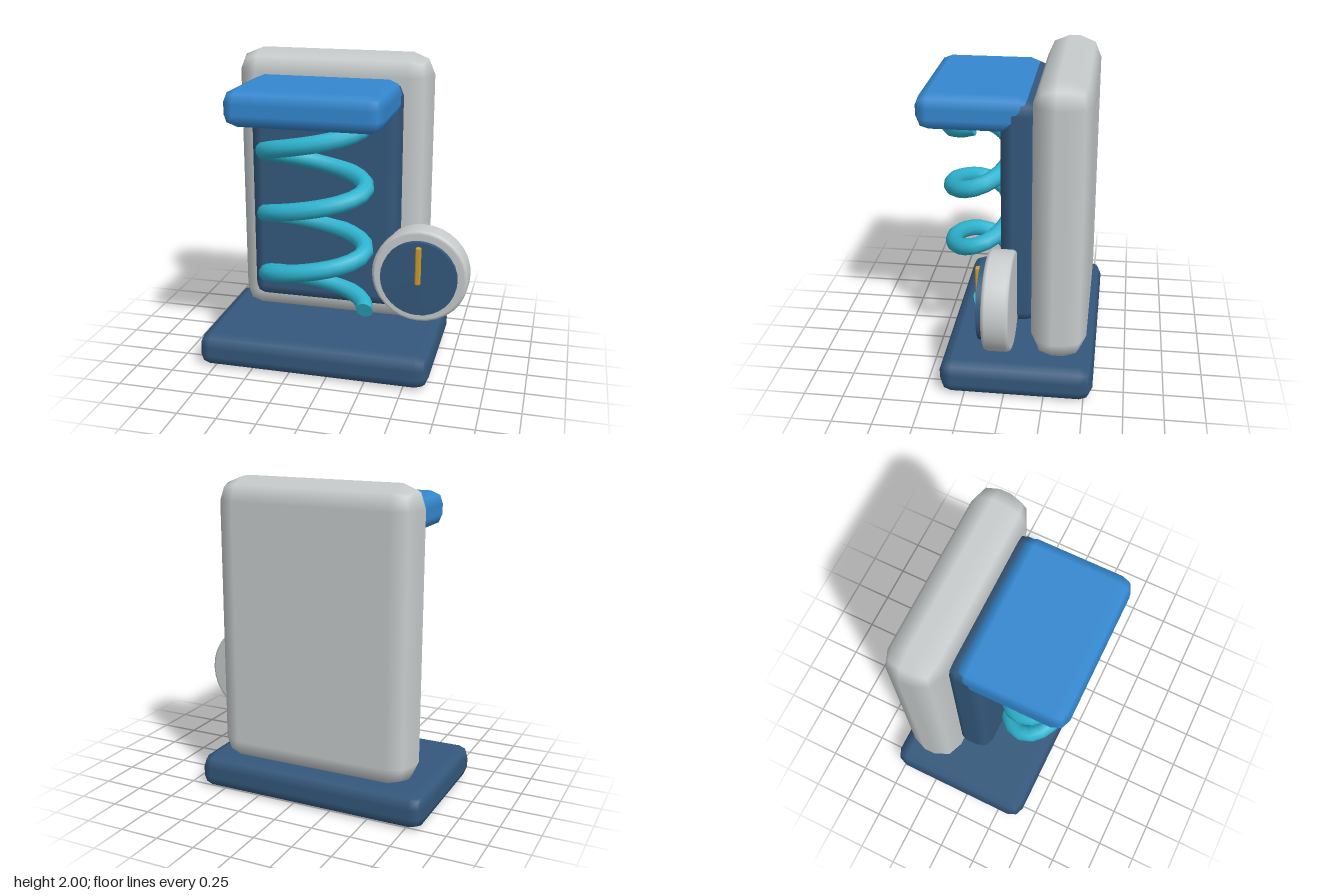
import * as THREE from 'three';
import { RoundedBoxGeometry } from 'three/addons/geometries/RoundedBoxGeometry.js';

const paint = (name, color) => {
  const m = new THREE.MeshStandardMaterial({ color });
  m.name = name;
  return m;
};

export function createModel() {
  const group = new THREE.Group();
  const navy = paint('navy', 0x34587c);
  const blue = paint('blue', 0x3488d0);
  const silver = paint('silver', 0xc8cccc);
  const teal = paint('teal', 0x2eb4d0);
  const gold = paint('gold', 0xd09a30);

  const add = (name, geometry, material) => {
    const mesh = new THREE.Mesh(geometry, material);
    mesh.name = name;
    group.add(mesh);
    return mesh;
  };

  // Chamfered block given by its extents on each axis
  const block = (name, x, y, z, r, material) => {
    const geo = new RoundedBoxGeometry(x[1] - x[0], y[1] - y[0], z[1] - z[0], 1, r);
    add(name, geo, material).position.set((x[0] + x[1]) / 2, (y[0] + y[1]) / 2, (z[0] + z[1]) / 2);
  };

  block('base', [-0.86, 0.66], [0, 0.22], [-0.555, 0.41], 0.08, navy);
  block('backPlate', [-0.745, 0.54], [0.2, 2], [-0.5, -0.15], 0.14, silver);
  block('frontPanel', [-0.585, 0.385], [0.385, 1.845], [-0.19, 0.05], 0.08, navy);
  block('topShelf', [-0.582, 0.382], [1.645, 1.87], [-0.13, 0.555], 0.08, blue);

  // Oval coil spring, three turns, rear of each turn sunk into the panel
  class Coil extends THREE.Curve {
    getPoint(t, target = new THREE.Vector3()) {
      const a = t * Math.PI * 6;
      return target.set(-0.1 + 0.32 * Math.cos(a), 0.44 + 1.2 * t, 0.225 - 0.19 * Math.sin(a));
    }
  }
  const coil = new Coil();
  const wire = 0.055;
  add('spring', new THREE.TubeGeometry(coil, 72, wire, 10), teal);
  for (const [t, sign] of [[0, -1], [1, 1]]) {
    const cap = add('springEnd', new THREE.CircleGeometry(wire, 10), teal);
    const out = coil.getTangent(t).multiplyScalar(sign);
    cap.position.copy(coil.getPoint(t));
    cap.quaternion.setFromUnitVectors(new THREE.Vector3(0, 0, 1), out);
  }

  // Round dial with softened rim, facing forward
  const dial = new THREE.Group();
  dial.name = 'dial';
  dial.position.set(0.545, 0.65, 0);
  group.add(dial);
  const rim = [[0, -0.06], [0.285, -0.06], [0.302, -0.053], [0.31, -0.035],
    [0.31, 0.08], [0.302, 0.098], [0.285, 0.105], [0, 0.105]];
  const body = add('dialBody', new THREE.LatheGeometry(rim.map(p => new THREE.Vector2(...p)), 32), silver);
  body.rotation.x = Math.PI / 2;
  const face = add('dialFace', new THREE.CylinderGeometry(0.245, 0.245, 0.04, 32), navy);
  face.rotation.x = Math.PI / 2;
  face.position.z = 0.12;
  const pointer = add('dialPointer', new RoundedBoxGeometry(0.036, 0.25, 0.035, 1, 0.01), gold);
  pointer.position.set(0, 0.095, 0.1575);
  dial.add(body, face, pointer);

  return group;
}
